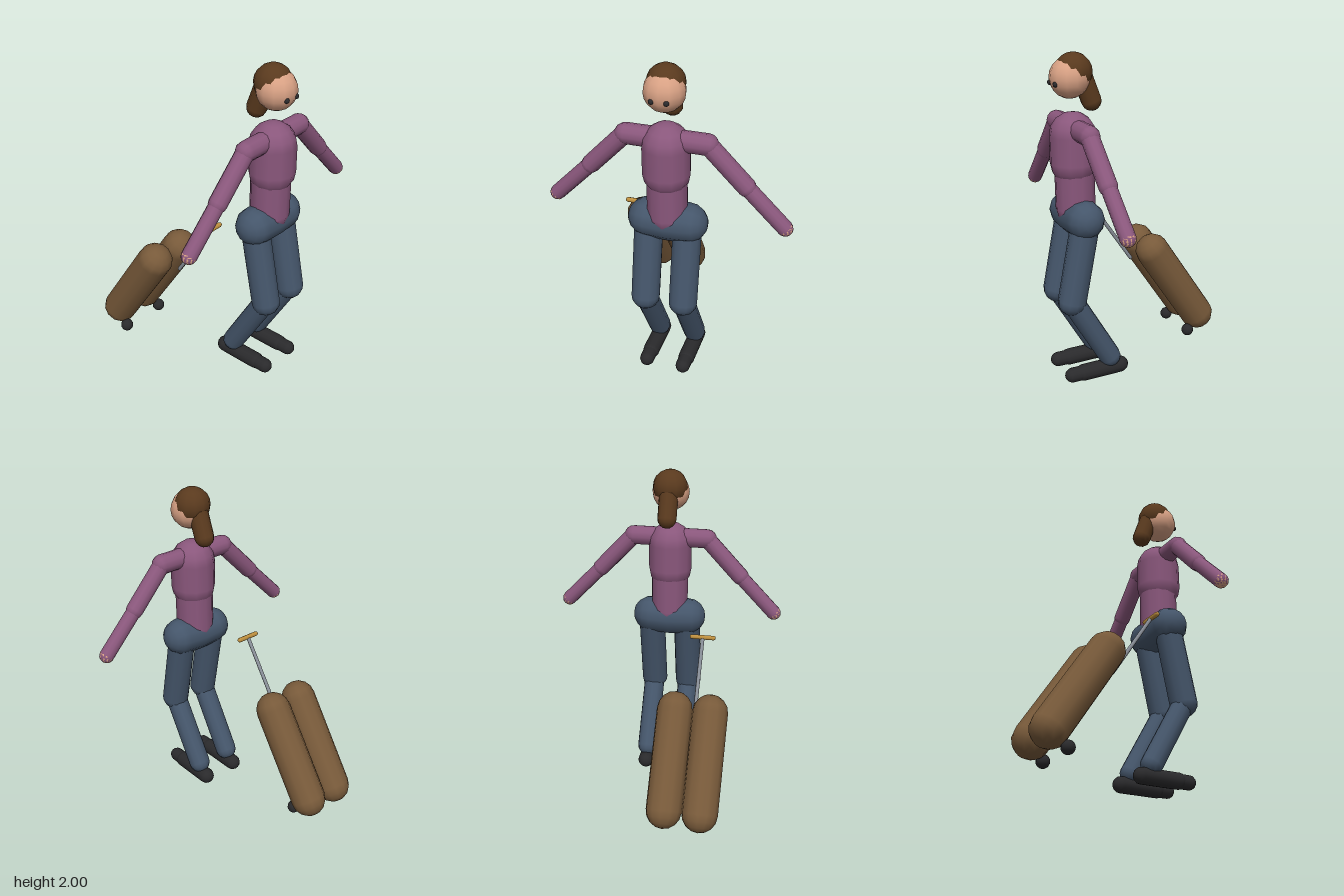
import * as THREE from 'three';

const mat = (name, color) => {
  const m = new THREE.MeshStandardMaterial({ color });
  m.name = name;
  return m;
};

export function createModel() {
  const model = new THREE.Group();
  model.name = 'travellerWithSuitcase';

  const skin = mat('skin', 0xd8a184);
  const hair = mat('hair brown', 0x5a3a1e);
  const shirt = mat('plum shirt', 0x8a577c);
  const jeans = mat('slate jeans', 0x45566b);
  const shoe = mat('black', 0x2a2a2c);
  const leather = mat('leather', 0x785a3a);
  const metal = mat('grey metal', 0x8a9099);
  const brass = mat('brass', 0xbf903f);

  const up = new THREE.Vector3(0, 1, 0);

  // Round-ended limb between two points
  const limb = (name, material, a, b, r, parent = model, sides = 12) => {
    const p = new THREE.Vector3(...a), q = new THREE.Vector3(...b);
    const dir = q.clone().sub(p);
    const mesh = new THREE.Mesh(new THREE.CapsuleGeometry(r, dir.length(), 4, sides), material);
    mesh.position.copy(p).add(q).multiplyScalar(0.5);
    mesh.quaternion.setFromUnitVectors(up, dir.normalize());
    mesh.name = name;
    parent.add(mesh);
    return mesh;
  };

  const ball = (name, material, c, r, parent = model) => {
    const mesh = new THREE.Mesh(new THREE.SphereGeometry(r, 12, 10), material);
    mesh.position.set(...c);
    mesh.name = name;
    parent.add(mesh);
    return mesh;
  };

  const group = (name) => {
    const g = new THREE.Group();
    g.name = name;
    model.add(g);
    return g;
  };

  // Head, hair and ponytail
  const head = group('head');
  ball('face', skin, [0, 1.857, 0.457], 0.118, head);
  ball('hairCap', hair, [0, 1.89, 0.432], 0.11, head);
  limb('ponytail', hair, [0, 1.85, 0.375], [0, 1.715, 0.325], 0.06, head);

  // Torso
  const torso = group('torso');
  limb('chest', shirt, [0, 1.525, 0.445], [0, 1.365, 0.445], 0.138, torso);
  limb('waist', shirt, [0, 1.36, 0.44], [0, 1.09, 0.438], 0.118, torso);

  for (const s of [1, -1]) {
    const side = s > 0 ? 'left' : 'right';
    ball(side + 'Eye', shoe, [s * 0.042, 1.832, 0.558], 0.016, head);

    // Arm
    const arm = group(side + 'Arm');
    limb(side + 'Shoulder', shirt, [0, 1.567, 0.445], [s * 0.235, 1.567, 0.445], 0.061, arm);
    limb(side + 'UpperArm', shirt, [s * 0.235, 1.567, 0.445], [s * 0.455, 1.335, 0.438], 0.054, arm);
    limb(side + 'Forearm', shirt, [s * 0.455, 1.335, 0.438], [s * 0.677, 1.108, 0.432], 0.046, arm);
    ball(side + 'Hand', skin, [s * 0.678, 1.107, 0.432], 0.045, arm);

    // Hip and leg
    const leg = group(side + 'Leg');
    const x = s * 0.116;
    limb(side + 'Hip', jeans, [0, 1.035, 0.432], [s * 0.12, 1.042, 0.432], 0.116, leg);
    limb(side + 'Thigh', jeans, [x, 0.98, 0.437], [x, 0.545, 0.524], 0.086, leg);
    limb(side + 'Shin', jeans, [x, 0.545, 0.524], [x, 0.13, 0.283], 0.068, leg);

    // Shoe
    limb(side + 'Shoe', shoe, [x, 0.055, 0.213], [x, 0.055, 0.46], 0.051, leg);
    limb(side + 'Toe', shoe, [x, 0.055, 0.4], [x, 0.055, 0.535], 0.045, leg);
  }

  // Tilted suitcase: two rolls, wheels and a pull handle
  const suitcase = group('suitcase');
  const cx = -0.255;
  for (const s of [1, -1]) {
    const x = cx + s * 0.109;
    limb('suitcaseRoll', leather, [x, 0.66, -0.156], [x, 0.15, -0.496], 0.11, suitcase);
    ball('wheel', shoe, [cx + s * 0.148, 0.053, -0.407], 0.04, suitcase);
  }
  limb('pullRod', metal, [cx, 0.99, 0.216], [cx, 0.59, -0.052], 0.012, suitcase, 8);
  limb('pullGrip', brass, [cx - 0.068, 0.99, 0.216], [cx + 0.068, 0.99, 0.216], 0.015, suitcase, 8);

  return model;
}
